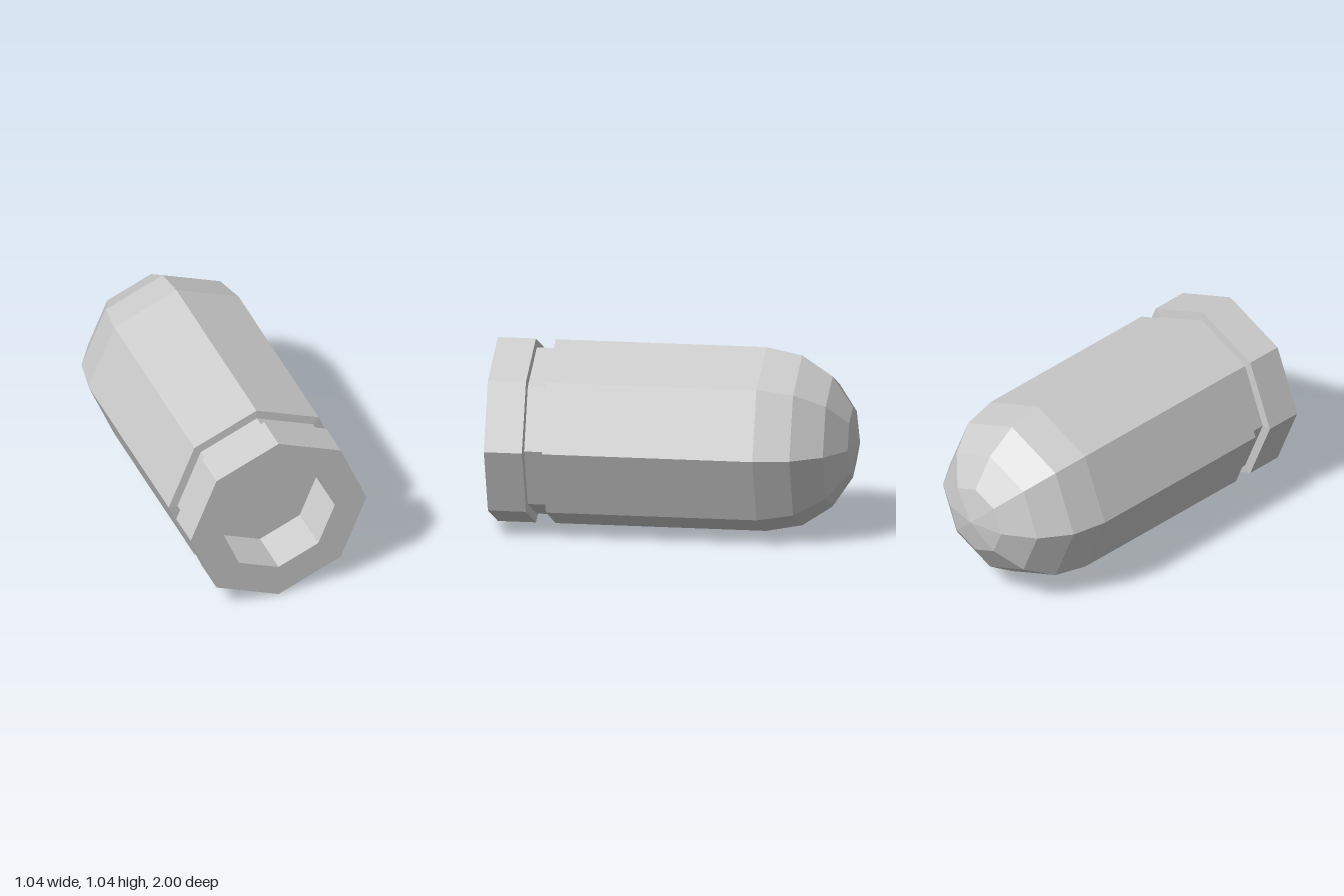
import * as THREE from 'three';

const R = 0.518;       // outer radius
const SIDES = 8;
const NOSE_Z = -0.482; // where the dome begins

export function createModel() {
  const group = new THREE.Group();
  const material = new THREE.MeshStandardMaterial({ color: 0xcccccc, flatShading: true });

  // Turns a [radius, z] profile, listed back to front, around the long axis
  const addTurned = (name, profile) => {
    const points = profile.map(([r, z]) => new THREE.Vector2(r, z));
    const geometry = new THREE.LatheGeometry(points, SIDES);
    geometry.rotateX(Math.PI / 2);
    const mesh = new THREE.Mesh(geometry, material);
    mesh.name = name;
    mesh.position.y = R;
    group.add(mesh);
  };

  // Domed nose: a quarter circle in four steps
  const dome = [];
  for (let i = 0; i <= 4; i++) {
    const a = (i / 4) * Math.PI / 2;
    dome.push([i === 0 ? 0 : R * Math.sin(a), NOSE_Z - R * Math.cos(a)]);
  }
  addTurned('nose', dome);

  // Straight body
  addTurned('body', [[R, NOSE_Z], [R, 0.68]]);

  // Groove with slightly sloped walls
  addTurned('groove', [[R, 0.68], [0.468, 0.684], [0.468, 0.785], [R, 0.79]]);

  // Rim and its flat front ring
  addTurned('rim', [[R, 0.79], [R, 1], [0.331, 1]]);

  // Recess in the front, closed by a flat floor
  addTurned('recess', [[0.331, 1], [0.331, 0.73], [0, 0.73]]);

  return group;
}
